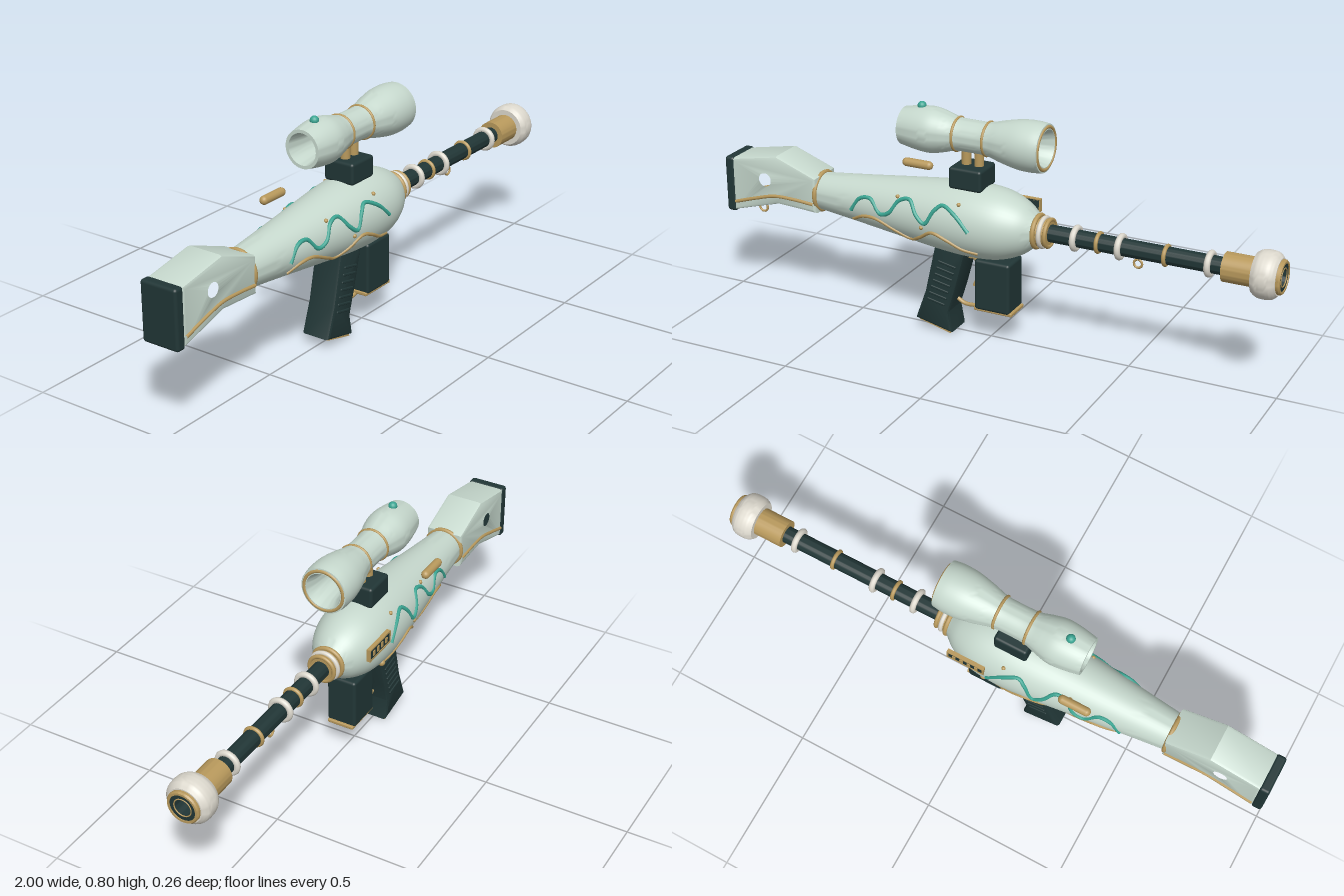
import * as THREE from 'three';
import { toCreasedNormals } from 'three/addons/utils/BufferGeometryUtils.js';
import { RoundedBoxGeometry } from 'three/addons/geometries/RoundedBoxGeometry.js';

const AXIS = 0.415; // height of the barrel axis
const SIGHT = 0.703; // height of the scope axis

export function createModel() {
  const root = new THREE.Group();
  const paint = (name, color) => {
    const m = new THREE.MeshStandardMaterial({ color });
    m.name = name;
    return m;
  };
  const shell = paint('pale sage', 0xc6d8cd);
  const dark = paint('dark green', 0x213636);
  const gold = paint('aged gold', 0xb8995c);
  const teal = paint('teal', 0x3aa592);
  const pearl = paint('pearl', 0xddd9ce);

  const add = (name, geo, mat, x = 0, y = 0, z = 0) => {
    const mesh = new THREE.Mesh(geo, mat);
    mesh.name = name;
    mesh.position.set(x, y, z);
    root.add(mesh);
    return mesh;
  };
  // Turned part along x; profile is [x, radius] pairs
  const turned = (name, profile, mat, y = AXIS) => {
    const pts = profile.map(([x, r]) => new THREE.Vector2(r, x));
    const geo = new THREE.LatheGeometry(pts, 48).rotateZ(-Math.PI / 2);
    return add(name, toCreasedNormals(geo, 0.6), mat, 0, y, 0);
  };
  const smooth = (pts, n) => new THREE.SplineCurve(pts.map(p => new THREE.Vector2(...p)))
    .getPoints(n).map(p => [p.x, p.y]);
  const ring = (name, x, r, t, mat, y = AXIS) =>
    add(name, new THREE.TorusGeometry(r, t, 10, 40).rotateY(Math.PI / 2), mat, x, y, 0);
  const tube = (name, pts, r, mat, n = 64) => add(name,
    new THREE.TubeGeometry(new THREE.CatmullRomCurve3(pts.map(p => new THREE.Vector3(...p))), n, r, 8), mat);
  const ball = (name, r, mat, x, y, z) => add(name, new THREE.SphereGeometry(r, 16, 12), mat, x, y, z);
  // Side outline extruded across z, with a bevel inside the given half width
  const slab = (name, outline, half, bevel, mat, hole) => {
    const shape = new THREE.Shape(outline.map(p => new THREE.Vector2(...p)));
    if (hole) shape.holes.push(new THREE.Path().absarc(...hole, 0, Math.PI * 2, true));
    const depth = 2 * (half - bevel);
    const geo = new THREE.ExtrudeGeometry(shape, {
      depth, bevelEnabled: bevel > 0, bevelSize: bevel, bevelOffset: -bevel,
      bevelThickness: bevel, bevelSegments: 2, curveSegments: 32,
    }).translate(0, 0, -depth / 2);
    return add(name, toCreasedNormals(geo, 0.5), mat);
  };

  // Body
  const bodyProfile = smooth([[-0.645, 0.064], [-0.5, 0.08], [-0.3, 0.104], [-0.15, 0.121],
    [-0.04, 0.126], [0.05, 0.117], [0.12, 0.09], [0.165, 0.055]], 40);
  turned('body', [[-0.645, 0], ...bodyProfile, [0.17, 0]], shell);
  const bodyRadius = x => {
    const i = Math.max(1, bodyProfile.findIndex(p => p[0] >= x));
    const [a, b] = [bodyProfile[i - 1], bodyProfile[i]];
    return a[1] + (b[1] - a[1]) * (x - a[0]) / (b[0] - a[0]);
  };
  const onBody = (x, y, side) =>
    [x, y, side * Math.sqrt(Math.max(0, bodyRadius(x) ** 2 - (y - AXIS) ** 2))];
  ring('rearCollar', -0.64, 0.066, 0.008, gold);

  // Vines, beads on both sides of the body
  const tealVine = [[-0.487, 0.4], [-0.45, 0.448], [-0.41, 0.454], [-0.365, 0.412], [-0.33, 0.424],
    [-0.295, 0.47], [-0.257, 0.48], [-0.22, 0.438], [-0.187, 0.417], [-0.155, 0.465],
    [-0.128, 0.486], [-0.075, 0.465], [-0.022, 0.417]];
  const goldVine = [[-0.487, 0.363], [-0.44, 0.386], [-0.39, 0.39], [-0.31, 0.358], [-0.257, 0.337],
    [-0.214, 0.358], [-0.16, 0.39], [-0.107, 0.374], [-0.053, 0.347], [0, 0.337]];
  for (const side of [1, -1]) {
    tube('tealVine', tealVine.map(p => onBody(...p, side)), 0.007, teal, 120);
    tube('goldVine', goldVine.map(p => onBody(...p, side)), 0.006, gold, 100);
    for (const [x, y] of [[-0.305, 0.48], [-0.07, 0.497], [-0.2, 0.4]])
      ball('bead', 0.007, gold, ...onBody(x, y, side));
  }
  ball('rosette', 0.012, gold, ...onBody(0, 0.345, -1));

  // Plaque with gold frame and bars on the back side
  add('plaque', new THREE.BoxGeometry(0.13, 0.04, 0.012), dark, 0.055, 0.452, -0.12);
  for (const s of [-1, 1]) {
    add('plaqueRail', new THREE.BoxGeometry(0.134, 0.006, 0.014), gold, 0.055, 0.452 + s * 0.02, -0.121);
    add('plaqueEnd', new THREE.BoxGeometry(0.006, 0.044, 0.014), gold, 0.055 + s * 0.065, 0.452, -0.121);
  }
  for (let i = 0; i < 4; i++)
    add('plaqueBar', new THREE.BoxGeometry(0.012, 0.018, 0.004), gold, 0.015 + i * 0.027, 0.452, -0.127);

  // Floating bolt handle
  add('boltHandle', new THREE.CapsuleGeometry(0.015, 0.085, 6, 16).rotateZ(Math.PI / 2), gold, -0.332, 0.528, -0.108);

  // Stock with thumb hole, butt plate, side trim and sling ring
  slab('stock', [[-0.97, 0.5], [-0.79, 0.535], [-0.635, 0.478], [-0.635, 0.352],
    [-0.79, 0.36], [-0.97, 0.308]], 0.068, 0.012, shell, [-0.837, 0.443, 0.036]);
  add('buttPlate', new RoundedBoxGeometry(0.036, 0.2, 0.136, 3, 0.01), dark, -0.982, 0.403, 0);
  for (const s of [1, -1])
    tube('stockTrim', [[-0.962, 0.342], [-0.88, 0.368], [-0.8, 0.389], [-0.72, 0.39], [-0.645, 0.385]]
      .map(([x, y]) => [x, y, s * 0.068]), 0.006, gold);
  add('stockSlingRing', new THREE.TorusGeometry(0.016, 0.004, 8, 24), gold, -0.893, 0.31, 0);

  // Barrel and its rings
  turned('frontCollar', [[0.15, 0], [0.15, 0.053], [0.215, 0.045], [0.215, 0]], gold);
  ring('collarRing', 0.172, 0.053, 0.008, gold);
  ring('collarBand', 0.192, 0.048, 0.008, pearl);
  ring('collarRing', 0.211, 0.045, 0.007, gold);
  turned('barrel', [[0.2, 0], [0.2, 0.029], [0.83, 0.029], [0.83, 0]], dark);
  for (const x of [0.305, 0.46, 0.76]) ring('paleRing', x, 0.034, 0.0105, pearl);
  for (const x of [0.385, 0.615]) ring('goldRing', x, 0.03, 0.007, gold);
  add('barrelSlingRing', new THREE.TorusGeometry(0.014, 0.004, 8, 24), gold, 0.52, 0.368, 0);

  // Muzzle
  turned('muzzleSleeve', [[0.808, 0], [0.808, 0.048], [0.92, 0.048], [0.92, 0]], gold);
  turned('muzzleBulb', [[0.908, 0.04], ...smooth([[0.908, 0.066], [0.925, 0.076], [0.95, 0.078],
    [0.972, 0.074], [0.987, 0.06]], 16), [0.987, 0.04]], pearl);
  turned('muzzleLip', [[0.97, 0.056], [0.995, 0.056], [1, 0.052], [1, 0.045], [0.975, 0.043]], gold);
  turned('muzzleCore', [[0.97, 0.045], [0.997, 0.045], [0.997, 0.031], [0.95, 0.029], [0.95, 0]], dark);
  ring('boreRing', 0.997, 0.03, 0.002, gold);

  // Scope, open from end to end
  turned('scope', [...smooth([[-0.317, 0.064], [-0.26, 0.074], [-0.21, 0.077], [-0.165, 0.068], [-0.12, 0.056],
    [-0.06, 0.054], [-0.005, 0.056], [0.05, 0.07], [0.11, 0.082], [0.16, 0.084], [0.195, 0.08]], 48),
  [0.197, 0.062], [0.16, 0.05], [0.1, 0.043], [-0.25, 0.043], [-0.317, 0.053], [-0.317, 0.064]], shell, SIGHT);
  for (const x of [-0.118, -0.008]) ring('scopeBand', x, 0.055, 0.005, gold, SIGHT);
  ring('scopeRim', 0.194, 0.07, 0.006, gold, SIGHT);
  ball('scopeKnob', 0.015, teal, -0.252, 0.78, 0);

  // Scope mount
  add('scopeMount', new RoundedBoxGeometry(0.118, 0.075, 0.114, 3, 0.01), dark, -0.07, 0.568, 0);
  for (const x of [-0.09, -0.044])
    add('mountPost', new THREE.CylinderGeometry(0.016, 0.016, 0.06, 20), gold, x, 0.63, 0);

  // Grip with side ribs and gold base
  slab('grip', [[-0.185, 0.32], [-0.07, 0.32], [-0.085, 0.26], [-0.112, 0.16], [-0.137, 0.08],
    [-0.124, 0.006], [-0.262, 0.036], [-0.225, 0.14]], 0.053, 0.01, dark);
  slab('gripBase', [[-0.25, 0.0295], [-0.25, 0.036], [-0.134, 0.011], [-0.132, 0.0]], 0.044, 0, gold);
  for (let i = 0; i < 7; i++)
    for (const s of [1, -1]) {
      const y = 0.112 + i * 0.024;
      const rib = add('gripRib', new RoundedBoxGeometry(0.068, 0.009, 0.008, 2, 0.003), dark,
        -0.215 + y * 0.3, y, s * 0.053);
      rib.rotation.z = -0.2;
    }

  // Magazine, trigger and guard
  add('magazine', new RoundedBoxGeometry(0.128, 0.18, 0.106, 3, 0.01), dark, 0.026, 0.204, 0);
  add('magazineBase', new RoundedBoxGeometry(0.14, 0.013, 0.096, 2, 0.004), gold, 0.028, 0.114, 0);
  tube('triggerGuard', [[-0.125, 0.115], [-0.1, 0.102], [-0.06, 0.102], [-0.01, 0.115]], 0.007, gold);
  tube('guardStrut', [[-0.09, 0.275], [-0.06, 0.275], [-0.042, 0.255], [-0.035, 0.22]], 0.006, gold);
  tube('trigger', [[-0.06, 0.285], [-0.05, 0.25], [-0.048, 0.21], [-0.062, 0.175]], 0.007, gold);

  return root;
}
